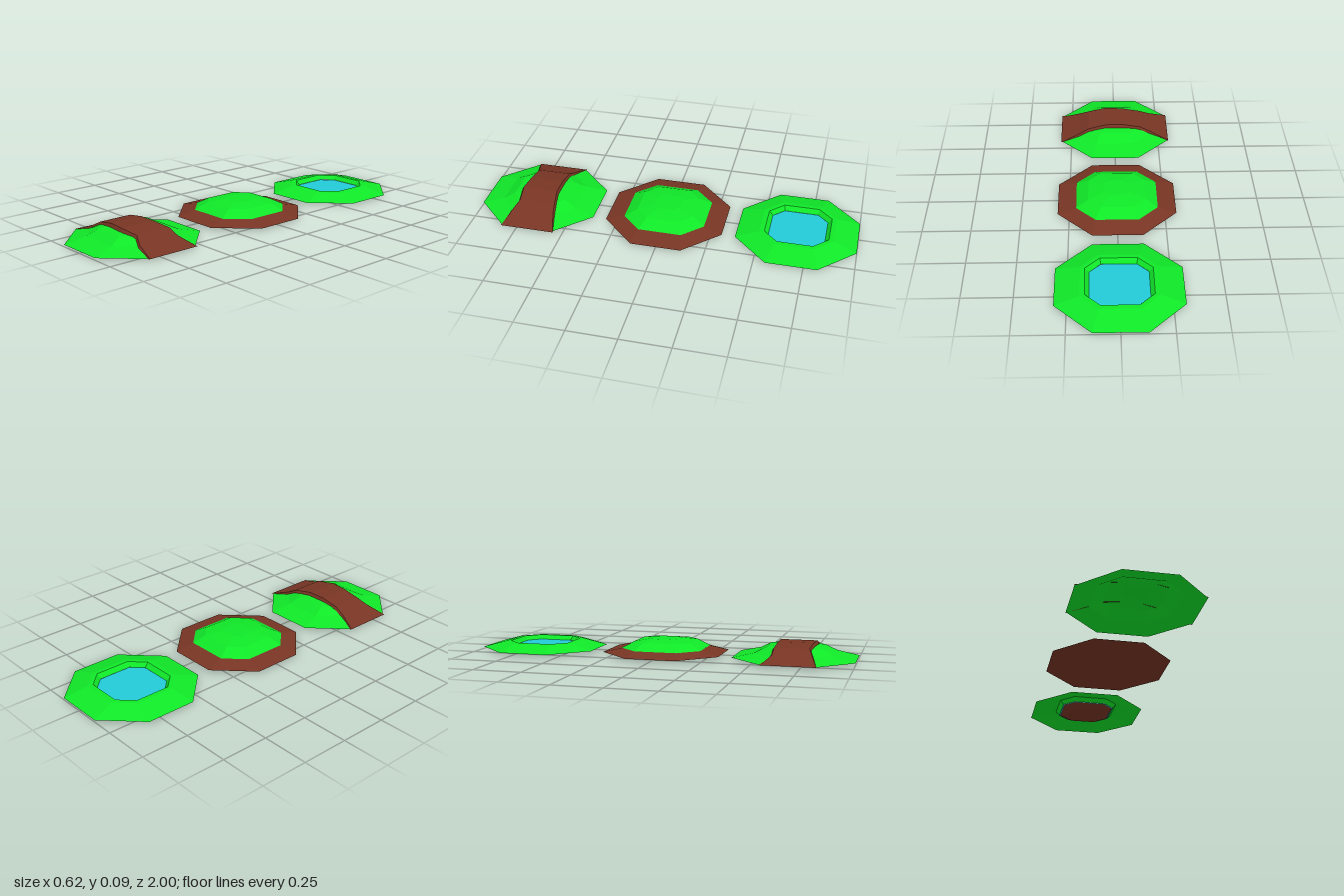
import * as THREE from 'three';

const paint = (color) => new THREE.MeshStandardMaterial({ color, flatShading: true, side: THREE.DoubleSide });

// Skin a list of equally long point rows; optionally wrap each row and cap the last
function skin(name, rows, material, { closed = false, cap = false } = {}) {
  const n = rows[0].length;
  const index = [];
  for (let r = 0; r < rows.length - 1; r++) {
    for (let i = 0; i < (closed ? n : n - 1); i++) {
      const a = r * n + i, b = r * n + (i + 1) % n;
      index.push(a, a + n, b, b, a + n, b + n);
    }
  }
  if (cap) {
    const s = (rows.length - 1) * n;
    for (let i = 1; i < n - 1; i++) index.push(s, s + i + 1, s + i);
  }
  const geometry = new THREE.BufferGeometry();
  geometry.setAttribute('position', new THREE.Float32BufferAttribute(rows.flat(2), 3));
  geometry.setIndex(index);
  geometry.computeVertexNormals();
  const mesh = new THREE.Mesh(geometry, material);
  mesh.name = name;
  return mesh;
}

// Octagon ring: half width a, half length c of its straight sides, height y
const ring = ([a, c, y]) => [
  [a, y, -c], [a, y, c], [c, y, a], [-c, y, a],
  [-a, y, c], [-a, y, -c], [-c, y, -a], [c, y, -a],
];
const octagonShell = (name, rings, material, cap = true) =>
  skin(name, rings.map(ring), material, { closed: true, cap });

export function createModel() {
  const green = paint(0x10e828), brown = paint(0x783524), blue = paint(0x22cbd8);
  const model = new THREE.Group();
  model.name = 'hillTiles';
  const tile = (name, z, ...parts) => {
    const group = new THREE.Group();
    group.name = name;
    group.position.z = z;
    group.add(...parts);
    model.add(group);
  };

  // Grass hill crossed by a raised dirt path
  const path = [ // x, top height, back edge z, front edge z, thickness
    [-0.31, 0.01, -0.14, 0.14, 0],
    [-0.205, 0.046, -0.1, 0.115, 0.012],
    [-0.15, 0.075, -0.098, 0.095, 0.014],
    [-0.05, 0.09, -0.094, 0.1, 0.017],
    [0.05, 0.09, -0.094, 0.11, 0.017],
    [0.15, 0.075, -0.112, 0.095, 0.014],
    [0.205, 0.046, -0.12, 0.12, 0.012],
    [0.31, 0.01, -0.145, 0.14, 0],
  ].map(([x, y, back, front, t]) => [
    [x, y - t, front], [x, y, front - 0.008], [x, y, back + 0.008], [x, y - t, back],
  ]).reverse();
  tile('pathHill', 0.69,
    octagonShell('grassMound', [
      [0.31, 0.13, 0.01], [0.2, 0.105, 0.036], [0.142, 0.085, 0.066], [0.062, 0.045, 0.077],
    ], green),
    skin('dirtPath', path, brown));

  // Dirt skirt topped by a grass dome
  tile('grassTopHill', 0,
    octagonShell('dirtSkirt', [[0.31, 0.13, 0.01], [0.21, 0.11, 0.033]], brown),
    octagonShell('grassDome', [
      [0.213, 0.112, 0.034], [0.15, 0.085, 0.068], [0.068, 0.04, 0.08],
    ], green));

  // Low hill with a pond set in a basin
  tile('pondHill', -0.69,
    octagonShell('grassRim', [
      [0.31, 0.13, 0.01], [0.19, 0.1, 0.043], [0.165, 0.092, 0.044], [0.145, 0.088, 0.021],
    ], green, false),
    octagonShell('water', [[0.146, 0.088, 0.02], [0.14, 0.085, 0.022]], blue),
    octagonShell('pondBed', [
      [0.14, 0.085, 0.019], [0.124, 0.075, 0.01], [0.105, 0.064, 0],
    ], brown));

  return model;
}
